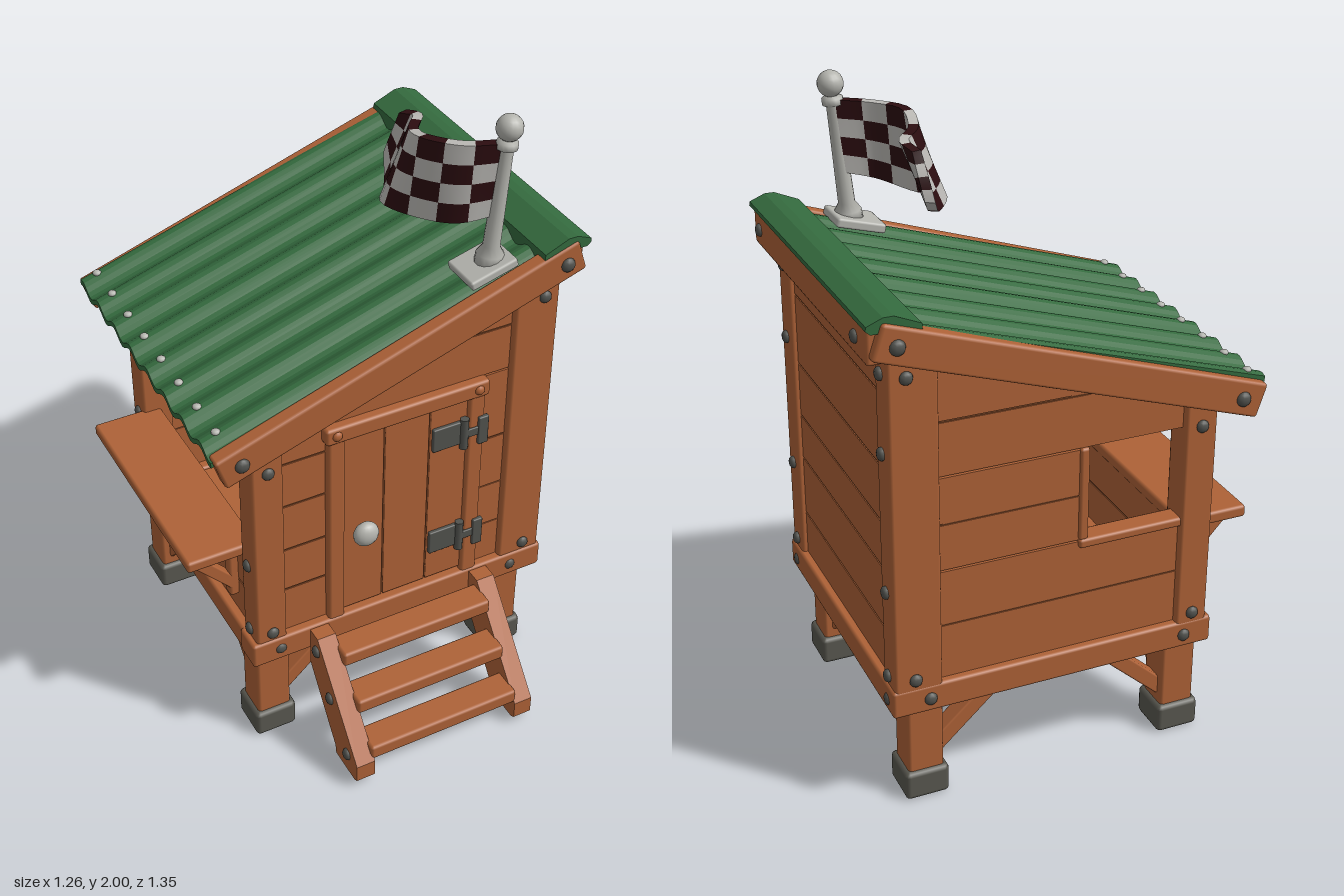
import * as THREE from 'three';
import { RoundedBoxGeometry } from 'three/addons/geometries/RoundedBoxGeometry.js';

const mat = (name, color) => Object.assign(new THREE.MeshStandardMaterial({ color }), { name });

export function createModel() {
  const root = new THREE.Group();
  root.name = 'playhouse';
  const wood = mat('wood', 0xae6237);
  const seam = mat('dark wood seam', 0x6b3c20);
  const green = mat('green roof', 0x346a3e);
  const stone = mat('stone foot', 0x595850);
  const iron = mat('iron', 0x51524e);
  const pale = mat('pale metal', 0xb4b4ae);
  const flagLight = mat('flag light', 0xbcbab6);
  const flagDark = mat('flag dark', 0x2c0d10);

  const slope = 1 / 3;
  const line = x => 1.35 + slope * x; // centre line of the sloping rafters
  const roofLine = x => line(x) - 0.018 * (x + 0.59); // the roof sheet lies slightly flatter
  const tilt = Math.atan(slope);

  const add = (name, geo, m, x = 0, y = 0, z = 0, parent = root) => {
    const mesh = new THREE.Mesh(geo, m);
    mesh.name = name;
    mesh.position.set(x, y, z);
    parent.add(mesh);
    return mesh;
  };
  // Chamfered block given by its limits
  const block = (name, x0, x1, y0, y1, z0, z1, m = wood, r = 0.01) => {
    const w = x1 - x0, h = y1 - y0, d = z1 - z0;
    return add(name, new RoundedBoxGeometry(w, h, d, 1, Math.min(r, Math.min(w, h, d) * 0.3)),
      m, (x0 + x1) / 2, (y0 + y1) / 2, (z0 + z1) / 2);
  };
  // Bar running between two points
  const bar = (name, a, b, w, d) => {
    const p = new THREE.Vector3(...a), q = new THREE.Vector3(...b);
    const mid = p.clone().add(q).multiplyScalar(0.5);
    const mesh = add(name, new RoundedBoxGeometry(w, d, p.distanceTo(q), 1, 0.006), wood, mid.x, mid.y, mid.z);
    mesh.lookAt(q);
    return mesh;
  };
  const polygon = pts => new THREE.Shape(pts.map(p => new THREE.Vector2(...p)));
  // Profile of [z, y] points, extruded across x0..x1
  const sideProfile = (pts, x0, x1) =>
    new THREE.ExtrudeGeometry(polygon(pts), { depth: x1 - x0, bevelEnabled: false })
      .rotateY(-Math.PI / 2).translate(x1, 0, 0);

  // Horizontal planks with dark seams, cut off along a top line y = a + s * x
  const planks = (name, x0, x1, rows, parent, a = 1.35, s = slope) => {
    const top = x => a + s * x;
    const at = y => (s ? (y - a) / s : x0);
    for (let i = 0; i + 1 < rows.length; i++) {
      const y0 = rows[i], y1 = rows[i + 1] - 0.006;
      if (top(x1) <= y0) continue;
      const pts = [[top(x0) >= y0 ? x0 : at(y0), y0], [x1, y0], [x1, Math.min(y1, top(x1))]];
      if (top(x0) >= y1) pts.push([x0, y1]);
      else {
        if (top(x1) > y1) pts.push([at(y1), y1]);
        if (top(x0) > y0) pts.push([x0, top(x0)]);
      }
      add(name, new THREE.ExtrudeGeometry(polygon(pts), { depth: 0.04, bevelEnabled: false }), wood, 0, 0, -0.02, parent);
      const sx = top(x0) >= y0 ? x0 : at(y0);
      if (i > 0) add('plankSeam', new THREE.BoxGeometry(x1 - sx, 0.008, 0.034), seam, (sx + x1) / 2, y0 - 0.003, 0, parent);
    }
  };
  const wall = (name, x, z, turn = 0) => {
    const g = new THREE.Group();
    g.name = name;
    g.position.set(x, 0, z);
    g.rotation.y = turn;
    root.add(g);
    return g;
  };

  // Legs, feet and knee braces
  for (const [x, ix] of [[-0.4, 1], [0.445, -1]]) for (const [z, iz] of [[0.275, -1], [-0.5, 1]]) {
    block('leg', x - 0.056, x + 0.056, 0.05, 0.36, z - 0.056, z + 0.056);
    block('foot', x - 0.07, x + 0.07, 0, 0.095, z - 0.07, z + 0.07, stone, 0.015);
    bar('legBrace', [x + ix * 0.04, 0.14, z], [x + ix * 0.26, 0.34, z], 0.06, 0.05);
    bar('legBrace', [x, 0.14, z + iz * 0.04], [x, 0.35, z + iz * 0.24], 0.06, 0.05);
  }

  // Floor and base beams
  block('floor', -0.44, 0.53, 0.355, 0.41, -0.57, 0.33);
  block('baseBeamFront', -0.48, 0.555, 0.33, 0.42, 0.26, 0.36);
  block('baseBeamBack', -0.48, 0.555, 0.33, 0.42, -0.6, -0.5);
  block('baseBeamLeft', -0.475, -0.37, 0.33, 0.42, -0.595, 0.355);
  block('baseBeamRight', 0.455, 0.56, 0.33, 0.42, -0.6, 0.36);

  // Corner posts
  for (const [z0, z1] of [[0.255, 0.353], [-0.598, -0.5]]) {
    block('cornerPostLeft', -0.462, -0.36, 0.4, 1.17, z0, z1);
    block('cornerPostRight', 0.405, 0.552, 0.4, 1.48, z0, z1);
  }

  // Plank walls
  const front = wall('frontWall', 0, 0.31);
  planks('frontPlankLeft', -0.37, -0.2, [0.42, 0.59, 0.75, 0.92, 1.08, 1.17], front);
  planks('frontPlankRight', 0.3, 0.41, [0.42, 0.57, 0.73, 0.92, 1.17], front);
  planks('frontPlankTop', -0.37, 0.41, [1.17, 1.33, 1.6], front);
  const back = wall('backWall', 0, -0.555);
  planks('backPlankLow', -0.37, 0.41, [0.42, 0.6, 0.78], back);
  planks('backPlankBeside', -0.05, 0.41, [0.78, 0.93, 1.08], back);
  planks('backPlankTop', -0.37, 0.41, [1.08, 1.25, 1.6], back);
  planks('rightPlank', -0.26, 0.51, [0.42, 0.57, 0.77, 0.92, 1.1, 1.33, 1.5], wall('rightWall', 0.515, 0, Math.PI / 2), 2, 0);
  planks('leftPlank', -0.26, 0.51, [0.42, 0.56, 0.7], wall('leftWall', -0.425, 0, Math.PI / 2), 2, 0);

  // Back window trim
  block('windowSill', -0.37, -0.03, 0.755, 0.785, -0.59, -0.52);
  block('windowJamb', -0.06, -0.03, 0.78, 1.08, -0.585, -0.525);

  // Serving hatch on the left: header, shelf and brackets
  block('hatchHeader', -0.455, -0.4, 1.1, 1.19, -0.56, 0.31);
  block('shelf', -0.63, -0.4, 0.692, 0.732, -0.52, 0.24);
  for (const z of [-0.44, 0.17]) {
    bar('shelfBracket', [-0.595, 0.69, z], [-0.45, 0.53, z], 0.04, 0.04);
    block('shelfBracketFoot', -0.475, -0.44, 0.49, 0.7, z - 0.02, z + 0.02);
  }

  // Door, frame, knob and hinges
  for (const [x0, x1] of [[-0.165, -0.023], [-0.019, 0.131], [0.135, 0.265]])
    block('doorPlank', x0, x1, 0.43, 1.115, 0.3, 0.34, wood, 0.003);
  block('doorSeams', -0.16, 0.26, 0.43, 1.11, 0.305, 0.33, seam, 0.002);
  block('doorFrameLeft', -0.215, -0.16, 0.41, 1.13, 0.3, 0.356);
  block('doorFrameRight', 0.26, 0.315, 0.41, 1.13, 0.3, 0.356);
  block('doorFrameTop', -0.225, 0.325, 1.115, 1.172, 0.3, 0.362);
  add('doorKnob', new THREE.SphereGeometry(0.042, 16, 12), pale, -0.097, 0.74, 0.37).scale.z = 0.7;
  for (const y of [0.99, 0.58]) {
    block('hingeDoorPlate', 0.14, 0.24, y - 0.04, y + 0.045, 0.335, 0.352, iron, 0.004);
    block('hingeFramePlate', 0.29, 0.325, y - 0.052, y + 0.05, 0.35, 0.366, iron, 0.004);
    add('hingePin', new THREE.CylinderGeometry(0.014, 0.014, 0.11, 10), iron, 0.246, y, 0.352);
    block('hingeStrap', 0.24, 0.3, y - 0.015, y + 0.015, 0.35, 0.362, iron, 0.003);
  }

  // Steps
  const stringer = [[0.675, 0.03], [0.66, 0.02], [0.535, 0.02], [0.53, 0.05], [0.36, 0.27], [0.36, 0.41], [0.41, 0.41], [0.675, 0.09]];
  for (const [x0, x1] of [[-0.285, -0.222], [0.288, 0.35]]) add('stairStringer', sideProfile(stringer, x0, x1), wood);
  [[0.33, 0.39, 0.485], [0.21, 0.48, 0.58], [0.09, 0.57, 0.668]].forEach(([y, z0, z1]) =>
    block('stairTread', -0.23, 0.295, y, y + 0.052, z0, z1));

  // Sloping rafters and high end beam
  for (const z of [0.366, -0.633])
    add('slopedRafter', new RoundedBoxGeometry(1.23, 0.108, 0.052, 1, 0.01), wood, 0.013, line(0.013), z).rotation.z = tilt;
  block('highBeam', 0.545, 0.618, 1.474, 1.585, -0.63, 0.36);

  // Corrugated roof sheet, sheared to the slope
  const wave = [], under = [];
  for (let i = 0; i <= 64; i++) {
    const z = -0.63 + i * 1.0 / 64;
    const y = 0.014 * Math.cos((z + 0.61) / 0.1295 * Math.PI * 2);
    wave.push([z, 0.063 + y]);
    under.unshift([z, 0.045 + y]);
  }
  const sheet = sideProfile([...under, ...wave], -0.59, 0.5);
  const p = sheet.attributes.position;
  for (let i = 0; i < p.count; i++) p.setY(i, p.getY(i) + roofLine(p.getX(i)));
  sheet.computeVertexNormals();
  add('roofSheet', sheet, green);
  const cap = polygon([[0.465, 1.53], [0.56, 1.57], [0.61, 1.57], [0.624, 1.582], [0.622, 1.594], [0.575, 1.613], [0.545, 1.613], [0.468, 1.58]]);
  add('ridgeCap', new THREE.ExtrudeGeometry(cap, { depth: 1.03, bevelEnabled: false }), green, 0, 0, -0.645);

  // Bolt heads, flattened along the given axis
  const head = new THREE.SphereGeometry(0.02, 10, 8);
  const bolt = (x, y, z, axis, m = iron, size = 1) => {
    const b = add('bolt', head, m, x, y, z);
    b.scale.setScalar(size);
    b.scale[axis] *= 0.65;
  };
  for (const [z, zr] of [[0.356, 0.394], [-0.602, -0.661]]) {
    for (const [x, y] of [[-0.41, 1.085], [-0.41, 0.45], [-0.385, 0.375], [0.5, 1.41], [0.49, 0.45], [0.445, 0.375]]) bolt(x, y, z, 'z');
    bolt(-0.505, 1.18, zr, 'z', iron, 1.15);
    bolt(0.543, 1.53, zr, 'z', iron, 1.15);
  }
  for (const z of [0.303, -0.545]) {
    for (const y of [0.37, 0.45, 0.73, 1.17, 1.41]) bolt(0.556, y, z, 'x');
    for (const y of [0.45, 0.71, 1.08]) bolt(-0.464, y, z, 'x');
    bolt(0.62, 1.53, z, 'x');
  }
  for (const x of [-0.287, 0.352]) for (const [y, z] of [[0.09, 0.61], [0.23, 0.495], [0.355, 0.405]]) bolt(x, y, z, 'x');
  for (const x of [-0.19, 0.287]) bolt(x, 1.145, 0.362, 'z', wood, 0.8);
  for (let i = 0; i < 8; i++) bolt(-0.54, roofLine(-0.54) + 0.077, -0.61 + i * 0.1295, 'y', pale, 0.7);

  // Flagpole
  const plate = add('poleBase', new RoundedBoxGeometry(0.16, 0.03, 0.14, 1, 0.008), pale, 0.328, line(0.328) + 0.072, 0.275);
  plate.rotation.z = tilt * 0.85;
  const pole = new THREE.Group();
  pole.name = 'flagpole';
  pole.position.set(0.345, 1.535, 0.278);
  pole.rotation.z = -0.1;
  root.add(pole);
  const profile = [[0, -0.01], [0.045, -0.01], [0.042, 0.03], [0.026, 0.055], [0.021, 0.36], [0.032, 0.365], [0.032, 0.385], [0.015, 0.395], [0, 0.395]];
  add('poleShaft', new THREE.LatheGeometry(profile.map(q => new THREE.Vector2(...q)), 14), pale, 0, 0, 0, pole);
  add('poleBall', new THREE.SphereGeometry(0.04, 16, 12), pale, 0, 0.427, 0, pole);

  // Thick waving checked flag, spanned between its top and bottom edges
  const curve = pts => new THREE.CatmullRomCurve3(pts.map(q => new THREE.Vector3(...q)));
  const upper = curve([[0.375, 1.915, 0.27], [0.28, 1.91, 0.22], [0.21, 1.905, 0.13], [0.225, 1.88, 0.03], [0.285, 1.87, -0.05], [0.27, 1.855, -0.11]]);
  const lower = curve([[0.355, 1.69, 0.27], [0.26, 1.67, 0.23], [0.185, 1.655, 0.12], [0.14, 1.66, 0.03], [0.2, 1.65, -0.06], [0.245, 1.71, -0.145]]);
  const flag = new THREE.BoxGeometry(1, 1, 1, 21, 8, 1);
  const fp = flag.attributes.position, index = flag.index;
  flag.clearGroups();
  for (let i = 0; i < index.count; i += 3) {
    let u = 0, v = 0;
    for (let k = 0; k < 3; k++) {
      u += fp.getX(index.getX(i + k)) / 3 + 1 / 6;
      v += fp.getY(index.getX(i + k)) / 3 + 1 / 6;
    }
    const cell = Math.min(6, Math.floor(u * 7)) + Math.min(3, Math.floor(v * 4));
    flag.addGroup(i, 3, cell % 2);
  }
  for (let i = 0; i < fp.count; i++) {
    const u = fp.getX(i) + 0.5, v = fp.getY(i) + 0.5;
    const q = lower.getPoint(u).lerp(upper.getPoint(u), v);
    const t = lower.getTangent(u).lerp(upper.getTangent(u), v).setY(0).normalize();
    const off = fp.getZ(i) * 0.03; // half the cloth to each side
    fp.setXYZ(i, q.x - t.z * off, q.y, q.z + t.x * off);
  }
  flag.computeVertexNormals();
  add('flag', flag, [flagLight, flagDark]);

  return root;
}
